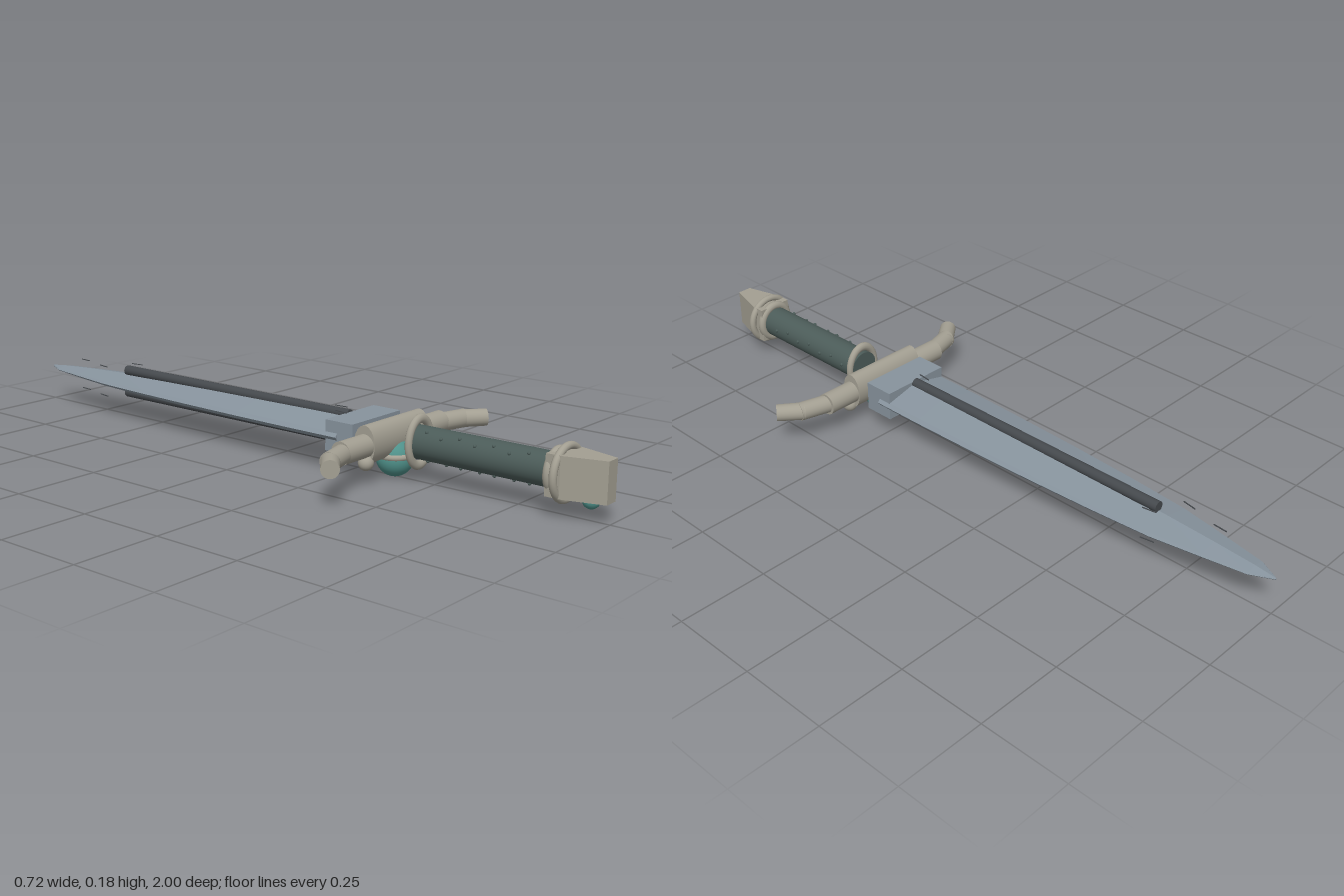
import * as THREE from 'three';

const mat = (color) => new THREE.MeshStandardMaterial({ color });
const Y = 0.106; // height of the dagger's long axis

export function createModel() {
  const root = new THREE.Group();
  const metal = mat(0xa39f92), steel = mat(0x87939d), dark = mat(0x45494d);
  const leather = mat(0x4c5c59), teal = mat(0x4f918a);
  const bladeMat = mat(0x87939d);
  bladeMat.flatShading = true;

  const add = (name, geo, material, x = 0, y = 0, z = 0) => {
    const m = new THREE.Mesh(geo, material);
    m.name = name;
    m.position.set(x, y, z);
    root.add(m);
    return m;
  };
  // Tapered rod between two points
  const rod = (name, a, b, r0, r1, material, seg = 24) => {
    const p = new THREE.Vector3(...a), q = new THREE.Vector3(...b);
    const d = q.clone().sub(p);
    const m = add(name, new THREE.CylinderGeometry(r1, r0, d.length(), seg), material);
    m.position.copy(p).add(q).multiplyScalar(0.5);
    m.quaternion.setFromUnitVectors(new THREE.Vector3(0, 1, 0), d.normalize());
    return m;
  };
  // Oval ring around the long axis
  const ring = (name, z, rx, ry, tube) => {
    const m = add(name, new THREE.TorusGeometry(rx - tube, tube, 12, 40), metal, 0, Y, z);
    m.scale.y = ry / rx;
    return m;
  };

  // Blade: bevelled diamond section lofted along z [z, half width, half thickness]
  const stations = [
    [0.26, 0.112, 0.036], [0.1, 0.111, 0.036], [-0.1, 0.107, 0.034], [-0.3, 0.1, 0.032],
    [-0.5, 0.09, 0.028], [-0.68, 0.077, 0.022], [-0.82, 0.054, 0.016],
    [-0.94, 0.033, 0.009], [-1, 0.002, 0.003]
  ];
  const section = [[1, 0], [0.92, 0.3], [0, 1], [-0.92, 0.3], [-1, 0], [-0.92, -0.3], [0, -1], [0.92, -0.3]];
  const n = section.length, pos = [], idx = [];
  for (const [z, w, t] of stations) for (const [u, v] of section) pos.push(u * w, v * t, z);
  for (let i = 0; i < stations.length - 1; i++) {
    for (let j = 0; j < n; j++) {
      const a = i * n + j, b = i * n + (j + 1) % n;
      idx.push(a, a + n, b, b, a + n, b + n);
    }
  }
  const last = (stations.length - 1) * n;
  for (let j = 1; j < n - 1; j++) idx.push(0, j, j + 1, last, last + j + 1, last + j);
  const blade = new THREE.BufferGeometry();
  blade.setAttribute('position', new THREE.Float32BufferAttribute(pos, 3));
  blade.setIndex(idx);
  blade.computeVertexNormals();
  add('blade', blade, bladeMat, 0, Y, 0);
  add('bladeBase', new THREE.BoxGeometry(0.208, 0.084, 0.09), steel, 0, Y, 0.265);

  // Dark ribs and fine scratches on both faces
  for (const s of [1, -1]) {
    rod('rib', [0, Y + s * 0.034, 0.22], [0, Y + s * 0.034, -0.65], 0.015, 0.015, dark, 16);
    for (const [x, z] of [[-0.02, -0.82], [-0.045, -0.71], [0.04, -0.65], [0.025, 0.17], [-0.025, 0.21]]) {
      const m = add('scratch', new THREE.BoxGeometry(0.003, 0.002, 0.04), dark, x, Y + s * 0.046, z);
      m.rotation.y = x * 4;
    }
  }

  // Crossguard: oval centre with stepped, bent arms
  const guard = rod('guardCentre', [-0.12, Y, 0.362], [0.12, Y, 0.362], 0.052, 0.052, metal, 32);
  guard.scale.z = 0.64;
  for (const s of [1, -1]) {
    rod('guardArm', [s * 0.11, 0.104, 0.362], [s * 0.217, 0.104, 0.362], 0.031, 0.031, metal);
    rod('guardArm', [s * 0.2, 0.103, 0.362], [s * 0.295, 0.103, 0.388], 0.026, 0.026, metal);
    rod('guardArm', [s * 0.28, 0.103, 0.38], [s * 0.343, 0.103, 0.43], 0.025, 0.024, metal);
    add('guardBead', new THREE.SphereGeometry(0.021, 20, 14), metal, s * 0.123, 0.061, 0.37);
  }

  // Guard gem in its setting
  add('guardGem', new THREE.SphereGeometry(0.051, 32, 20), teal, 0, 0.051, 0.372);
  const setting = add('gemSetting', new THREE.TorusGeometry(0.045, 0.009, 12, 36), metal, 0, 0.06, 0.372);
  setting.rotation.x = Math.PI / 2;

  // Grip with rows of small studs
  rod('grip', [0, Y, 0.44], [0, Y, 0.86], 0.045, 0.045, leather, 32);
  for (let i = 0; i < 7; i++) {
    for (const a of [0.1, 2.2, 4.3]) {
      const t = a + (i % 2) * 0.25;
      add('gripStud', new THREE.SphereGeometry(0.005, 8, 6), leather,
        0.045 * Math.cos(t), Y + 0.045 * Math.sin(t), 0.49 + i * 0.05);
    }
  }
  ring('gripCollar', 0.449, 0.058, 0.075, 0.01);
  ring('pommelCollar', 0.855, 0.061, 0.064, 0.012);
  ring('pommelRing', 0.88, 0.077, 0.077, 0.01);

  // Pommel: wedge of constant height, narrowing in plan
  const plan = new THREE.Shape();
  plan.moveTo(-0.052, -0.85);
  plan.lineTo(-0.052, -0.89);
  plan.lineTo(-0.021, -1);
  plan.lineTo(0.021, -1);
  plan.lineTo(0.052, -0.89);
  plan.lineTo(0.052, -0.85);
  const pommel = add('pommel', new THREE.ExtrudeGeometry(plan, { depth: 0.107, bevelEnabled: false }), metal, 0, 0.053, 0);
  pommel.rotation.x = -Math.PI / 2;
  add('pommelGem', new THREE.SphereGeometry(0.023, 24, 16), teal, 0, 0.052, 0.948);

  return root;
}
